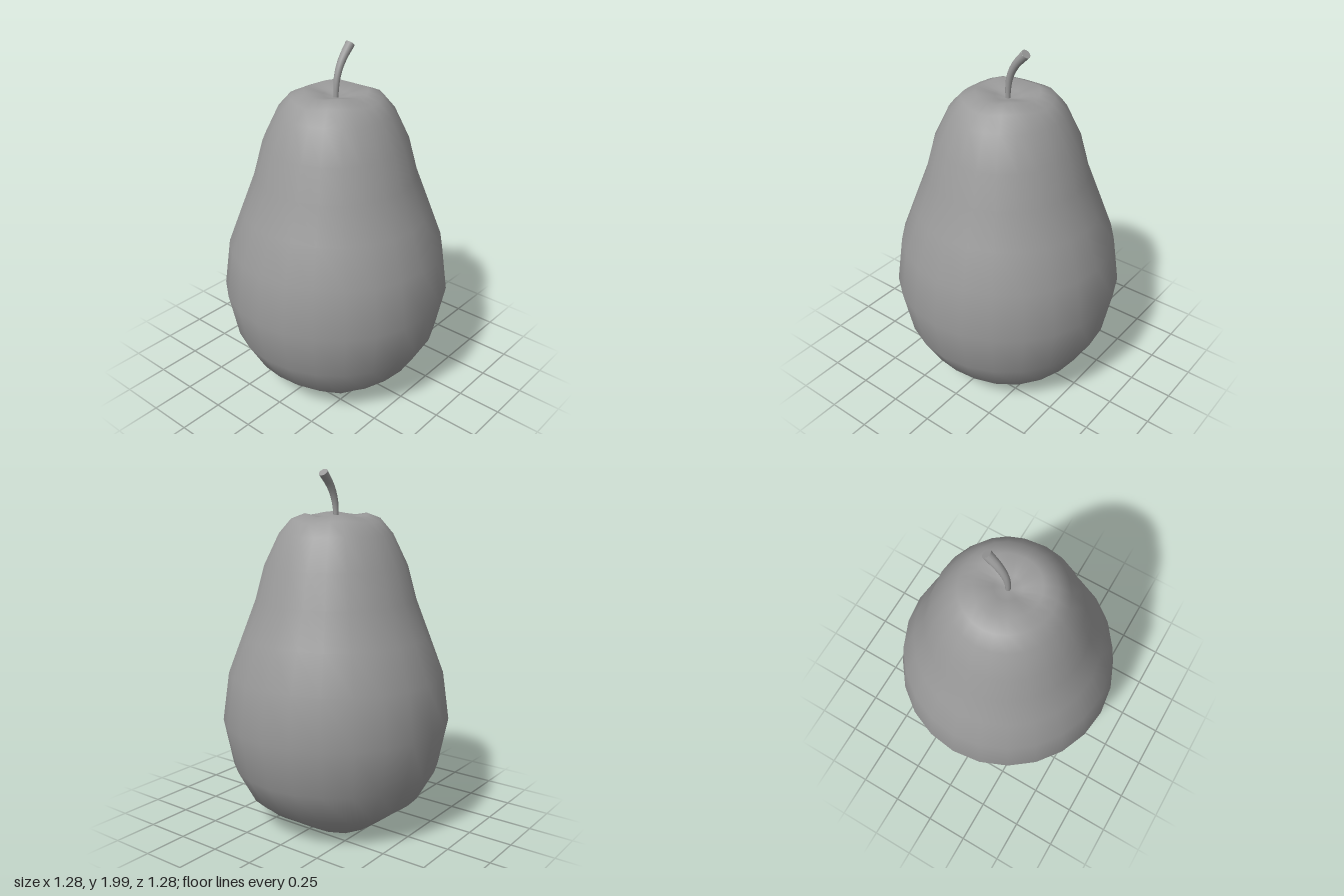
import * as THREE from 'three';
import { mergeVertices } from 'three/addons/utils/BufferGeometryUtils.js';

const material = new THREE.MeshStandardMaterial({ color: 0x9a9a9a });

// Fruit profile from bottom to top: radius, height, lobe strength
const PROFILE = [
  [0, 0.045, 0], [0.07, 0.032, -0.004], [0.17, 0.016, -0.011], [0.36, 0.07, -0.018],
  [0.49, 0.175, -0.008], [0.588, 0.355, 0], [0.64, 0.62, 0], [0.602, 0.89, 0],
  [0.522, 1.1, 0], [0.445, 1.3, 0], [0.395, 1.485, 0], [0.312, 1.655, 0.002],
  [0.245, 1.727, 0.008], [0.17, 1.756, 0.007], [0.07, 1.733, 0.003], [0, 1.715, 0],
];

// Smooth turned body with four soft lobes around both dimples
function createBody() {
  const points = PROFILE.map(([r, y]) => new THREE.Vector2(r, y));
  const lathe = new THREE.LatheGeometry(points, 24);
  const pos = lathe.attributes.position;
  for (let i = 0; i < pos.count; i++) {
    const angle = Math.atan2(pos.getX(i), pos.getZ(i));
    const strength = PROFILE[i % PROFILE.length][2];
    pos.setY(i, pos.getY(i) - strength * Math.cos(4 * angle));
  }
  // Weld the seam so the shading is continuous
  lathe.deleteAttribute('uv');
  lathe.deleteAttribute('normal');
  const geometry = mergeVertices(lathe, 1e-4);
  geometry.computeVertexNormals();
  const body = new THREE.Mesh(geometry, material);
  body.name = 'fruitBody';
  return body;
}

// Bent stem, widening towards a flat cut end
function createStem() {
  const stem = new THREE.Group();
  stem.name = 'stem';
  const path = new THREE.CatmullRomCurve3([
    [0, 1.69], [0.001, 1.77], [0.014, 1.84], [0.05, 1.91], [0.112, 1.979],
  ].map(([x, y]) => new THREE.Vector3(x, y, 0)));
  const steps = 10, sides = 12, startRadius = 0.012, endRadius = 0.026;

  const tube = new THREE.TubeGeometry(path, steps, 1, sides);
  const pos = tube.attributes.position;
  const p = new THREE.Vector3();
  for (let i = 0; i < pos.count; i++) {
    const t = Math.floor(i / (sides + 1)) / steps;
    const center = path.getPointAt(t);
    p.fromBufferAttribute(pos, i).sub(center);
    p.multiplyScalar(THREE.MathUtils.lerp(startRadius, endRadius, t)).add(center);
    pos.setXYZ(i, p.x, p.y, p.z);
  }
  const stalk = new THREE.Mesh(tube, material);
  stalk.name = 'stalk';

  const cut = new THREE.Mesh(new THREE.CircleGeometry(endRadius, sides), material);
  cut.name = 'stemCutEnd';
  cut.position.copy(path.getPointAt(1));
  cut.quaternion.setFromUnitVectors(new THREE.Vector3(0, 0, 1), path.getTangentAt(1));

  stem.add(stalk, cut);
  return stem;
}

export function createModel() {
  const model = new THREE.Group();
  model.name = 'pear';
  model.add(createBody(), createStem());
  return model;
}
